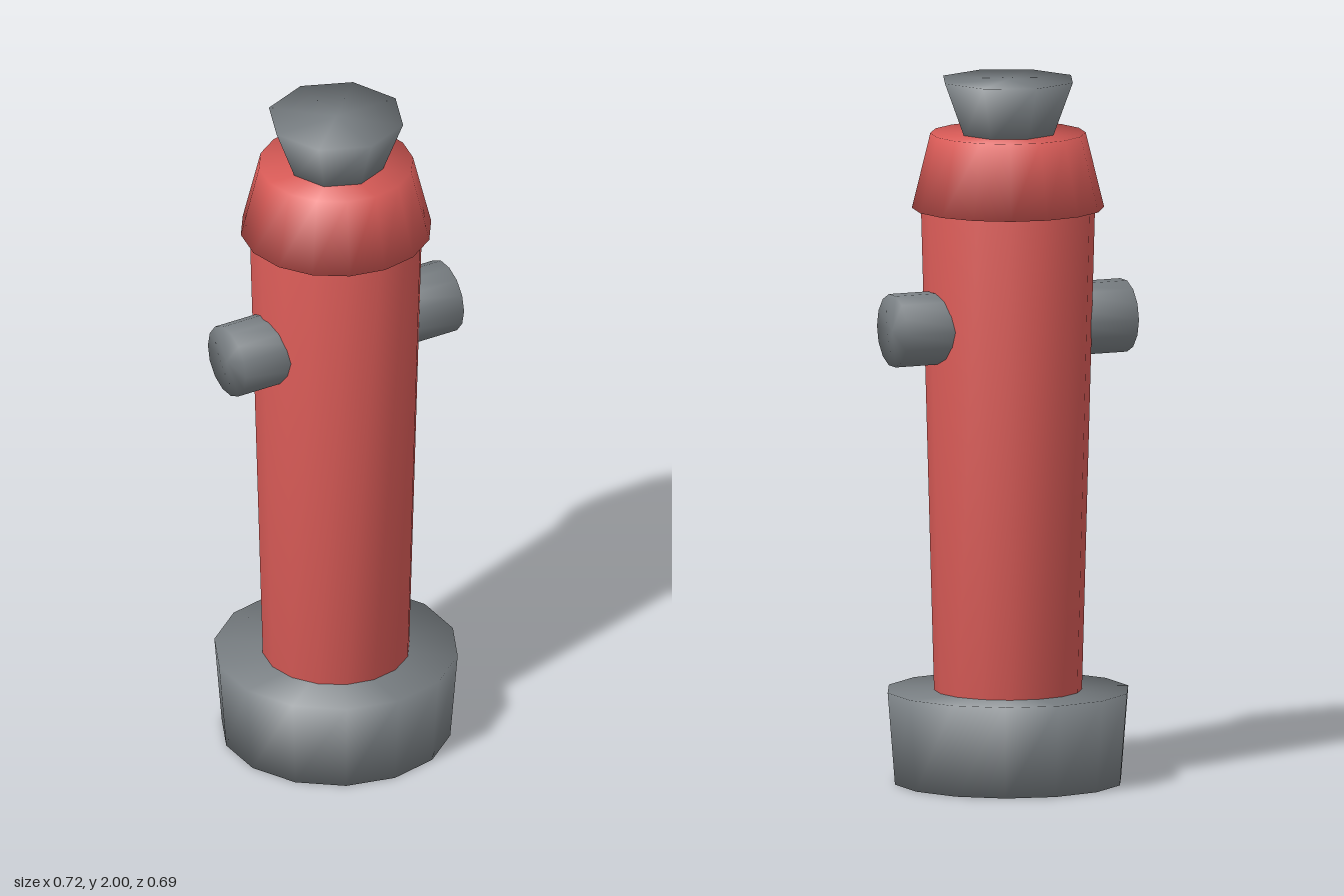
import * as THREE from 'three';
import { mergeVertices } from 'three/addons/utils/BufferGeometryUtils.js';

// Closed frustum whose normals blend softly across side and end faces
function softFrustum(topRadius, bottomRadius, height, sides) {
  const geometry = new THREE.CylinderGeometry(topRadius, bottomRadius, height, sides);
  geometry.deleteAttribute('uv');
  geometry.deleteAttribute('normal');
  const welded = mergeVertices(geometry, 1e-4);
  welded.computeVertexNormals();
  return welded;
}

export function createModel() {
  const red = new THREE.MeshStandardMaterial({ color: 0xd95b57 });
  red.name = 'red paint';
  const grey = new THREE.MeshStandardMaterial({ color: 0x7a8084 });
  grey.name = 'grey metal';

  const model = new THREE.Group();
  model.name = 'hydrant';

  // Upright parts: name, bottom y, top y, bottom radius, top radius, sides, material
  const parts = [
    ['base', 0, 0.262, 0.325, 0.346, 14, grey],
    ['barrel', 0.24, 1.66, 0.208, 0.246, 16, red],
    ['bonnet', 1.635, 1.848, 0.271, 0.219, 16, red],
    ['topNut', 1.84, 2, 0.134, 0.195, 8, grey],
  ];
  for (const [name, y0, y1, r0, r1, sides, material] of parts) {
    const mesh = new THREE.Mesh(softFrustum(r1, r0, y1 - y0, sides), material);
    mesh.name = name;
    mesh.position.y = (y0 + y1) / 2;
    model.add(mesh);
  }

  // Outlets on both sides of the barrel
  for (const side of [1, -1]) {
    const outlet = new THREE.Mesh(softFrustum(0.104, 0.104, 0.22, 14), grey);
    outlet.name = side > 0 ? 'leftOutlet' : 'rightOutlet';
    outlet.rotation.z = -side * Math.PI / 2;
    outlet.position.set(side * 0.248, 1.306, 0);
    model.add(outlet);
  }

  return model;
}
